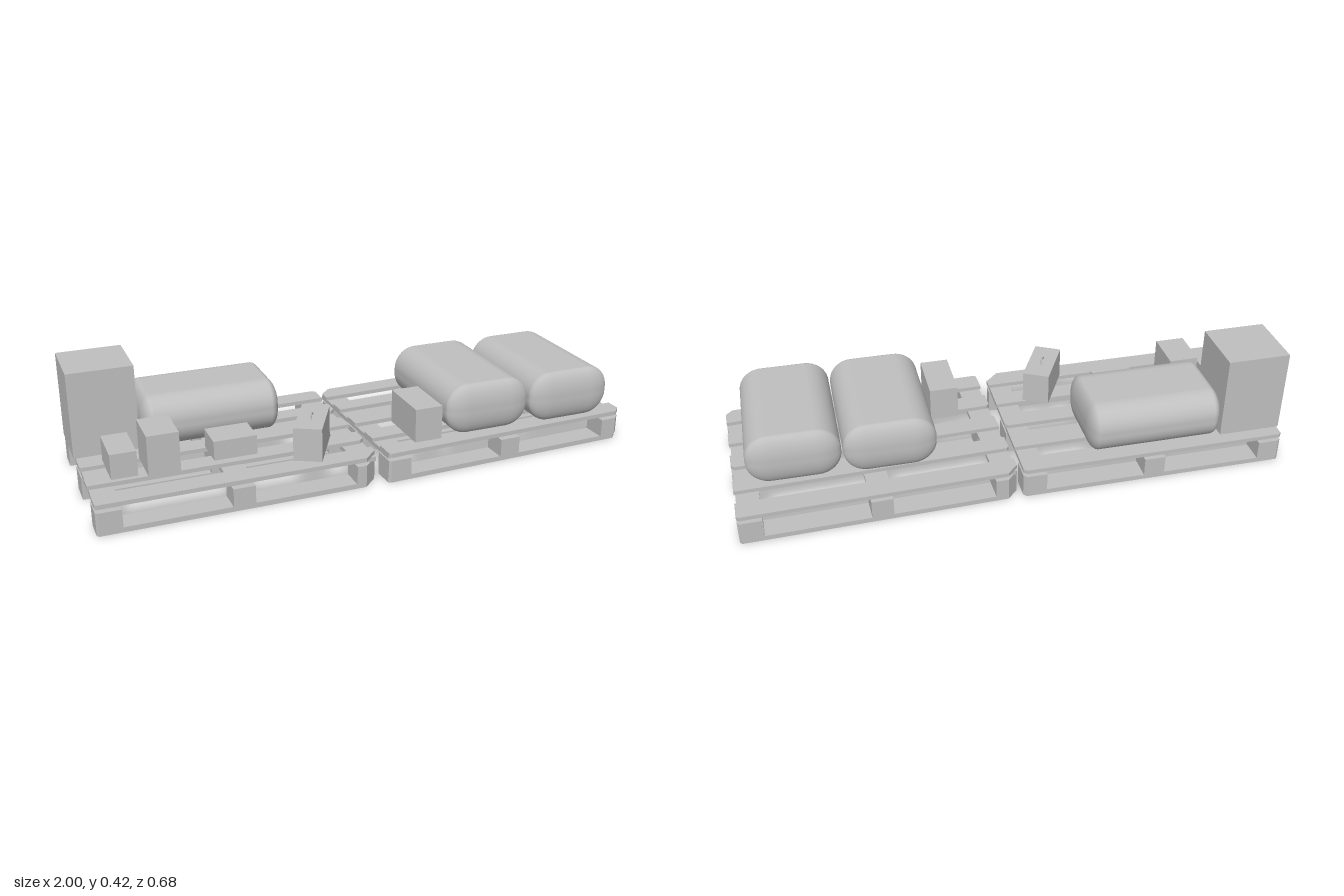
import * as THREE from 'three';
import { RoundedBoxGeometry } from 'three/addons/geometries/RoundedBoxGeometry.js';

export function createModel() {
  const group = new THREE.Group();
  const grey = new THREE.MeshStandardMaterial({ color: 0xbfbfbf });
  grey.name = 'plain grey';

  function add(parent, name, geometry, x = 0, y = 0, z = 0) {
    const mesh = new THREE.Mesh(geometry, grey);
    mesh.name = name;
    mesh.position.set(x, y, z);
    parent.add(mesh);
    return mesh;
  }

  // Flat plank lying along x from z0 to z1, with cut corners:
  // cuts = [front left, front right, back right, back left]
  function plank(length, z0, z1, height, cuts = [0, 0, 0, 0]) {
    const x = length / 2;
    const [fl, fr, br, bl] = cuts;
    const points = [
      [-x, -z1 + fl], [-x + fl, -z1], [x - fr, -z1], [x, -z1 + fr],
      [x, -z0 - br], [x - br, -z0], [-x + bl, -z0], [-x, -z0 - bl],
    ].filter((p, i, all) => {
      const q = all[(i + 1) % all.length];
      return Math.hypot(p[0] - q[0], p[1] - q[1]) > 1e-5;
    });
    const shape = new THREE.Shape(points.map(p => new THREE.Vector2(...p)));
    return new THREE.ExtrudeGeometry(shape, { depth: height, bevelEnabled: false })
      .rotateX(-Math.PI / 2);
  }

  // Pallet: runners, nine blocks, cross boards and five deck boards
  function pallet(name, x, z, turn, corners) {
    const p = new THREE.Group();
    p.name = name;
    p.position.set(x, 0, z);
    p.rotation.y = turn;
    const length = 0.98;
    const [fl, fr, br, bl] = corners;
    const rows = [
      { z0: -0.325, z1: -0.235, cuts: [0, 0, br, bl] },
      { z0: -0.05, z1: 0.05, cuts: [0, 0, 0, 0] },
      { z0: 0.235, z1: 0.325, cuts: [fl, fr, 0, 0] },
    ];
    for (const r of rows) {
      add(p, 'runner', plank(length, r.z0, r.z1 - 0.005, 0.018, r.cuts));
      [-1, 0, 1].forEach(side => {
        const c = r.cuts;
        const cuts = side < 0 ? [c[0], 0, 0, c[3]] : side > 0 ? [0, c[1], c[2], 0] : [0, 0, 0, 0];
        const width = side ? 0.085 : 0.077;
        add(p, 'block', plank(width, r.z0, r.z1, 0.067, cuts),
          side * (length / 2 - 0.0425), 0.018);
      });
    }
    for (const cx of [-0.445, 0, 0.445])
      add(p, 'crossBoard', new THREE.BoxGeometry(0.08, 0.016, 0.6), cx, 0.092, 0);
    const deck = [
      [-0.325, -0.245, [0, 0, br, bl]],
      [-0.18, -0.11, [0, 0.012, 0, 0.008]],
      [-0.04, 0.035, [0.008, 0, 0.012, 0]],
      [0.105, 0.18, [0, 0.015, 0, 0.01]],
      [0.245, 0.325, [fl, fr, 0, 0]],
    ];
    for (const [z0, z1, cuts] of deck)
      add(p, 'deckBoard', plank(length, z0, z1, 0.015, cuts), 0, 0.099);
    group.add(p);
  }
  pallet('rightPallet', -0.503, 0.012, 0, [0.008, 0.05, 0.012, 0.008]);
  pallet('leftPallet', 0.502, 0, 0.03, [0.008, 0.025, 0.008, 0.04]);

  // Stuffed sacks: deep rounding across the width, tighter at the ends
  function sack(x, z, width, length, turn) {
    const squash = 0.45;
    const geometry = new RoundedBoxGeometry(width, 0.188, length / squash, 6, 0.085);
    geometry.scale(1, 1, squash);
    add(group, 'sack', geometry, x, 0.208, z).rotation.y = turn;
  }
  sack(0.435, 0.05, 0.33, 0.51, 0);
  sack(0.77, 0.06, 0.33, 0.51, 0);
  sack(-0.51, -0.14, 0.33, 0.5, Math.PI / 2);

  // Cartons: [name, x, z, width, height, depth, turn]
  const base = 0.114;
  const cartons = [
    ['tallCarton', -0.885, -0.15, 0.23, 0.31, 0.23, 0],
    ['lowCarton', -0.865, 0.092, 0.09, 0.09, 0.165, 0],
    ['cubeCarton', -0.735, 0.12, 0.11, 0.145, 0.155, 0],
    ['flatCarton', -0.478, 0.1, 0.155, 0.07, 0.12, 0],
    ['longCarton', 0.197, 0.182, 0.104, 0.125, 0.205, 0],
    ['turnedCarton', -0.212, 0.194, 0.1, 0.121, 0.208, -0.49],
  ];
  for (const [name, x, z, w, h, d, turn] of cartons)
    add(group, name, new THREE.BoxGeometry(w, h, d), x, base + h / 2, z).rotation.y = turn;

  // Carry handle on the turned carton
  const arch = new THREE.CatmullRomCurve3([
    new THREE.Vector3(0, 0, -0.026), new THREE.Vector3(0, 0.011, -0.014),
    new THREE.Vector3(0, 0.011, 0.014), new THREE.Vector3(0, 0, 0.026),
  ]);
  add(group, 'handle', new THREE.TubeGeometry(arch, 8, 0.003, 5), -0.212, 0.234, 0.194)
    .rotation.y = -0.49;

  return group;
}
